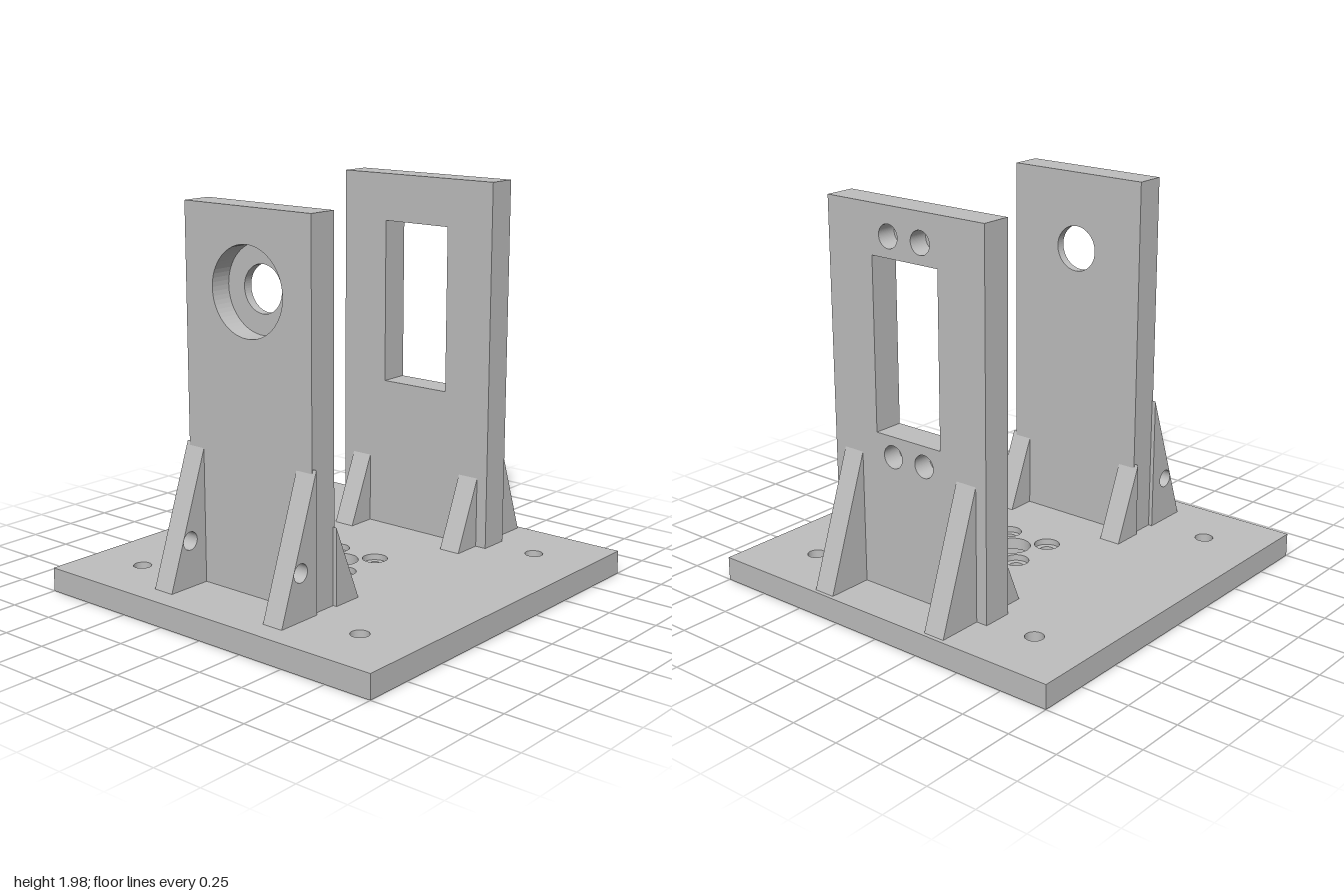
import * as THREE from 'three';

const grey = new THREE.MeshStandardMaterial({ color: 0xbfbfbf });
grey.name = 'machined grey';

// Rectangle outline, with the given hole paths cut out
function plate(x0, y0, x1, y1, holes) {
  const s = new THREE.Shape([[x0, y0], [x1, y0], [x1, y1], [x0, y1]].map(p => new THREE.Vector2(...p)));
  s.holes.push(...holes);
  return s;
}
const circle = (x, y, r) => new THREE.Path().absarc(x, y, r, 0, Math.PI * 2, true);
const corners = (d, r) => [[-d, -d], [d, -d], [d, d], [-d, d]].map(([x, y]) => circle(x, y, r));
const extrude = (shape, depth) =>
  new THREE.ExtrudeGeometry(shape, { depth, bevelEnabled: false, curveSegments: 32 });

export function createModel() {
  const model = new THREE.Group();
  model.name = 'bearingMount';
  const add = (name, geometry, parent) => {
    const mesh = new THREE.Mesh(geometry, grey);
    mesh.name = name;
    parent.add(mesh);
  };
  const group = name => {
    const g = new THREE.Group();
    g.name = name;
    model.add(g);
    return g;
  };

  // Base plate in layers: round recess below, bolt holes, counterbores above
  const base = group('basePlate');
  const baseLayers = [
    ['recessLayer', 0, 0.06, [circle(0, 0, 0.25)]],
    ['boltHoleLayer', 0.06, 0.09, [circle(0, 0, 0.09), ...corners(0.123, 0.035)]],
    ['counterboreLayer', 0.09, 0.12, [circle(0, 0, 0.09), ...corners(0.123, 0.063)]],
  ];
  for (const [name, y0, y1, holes] of baseLayers) {
    const shape = plate(-1, -1, 1, 1, [...corners(0.693, 0.045), ...holes]);
    add(name, extrude(shape, y1 - y0).rotateX(-Math.PI / 2).translate(0, y0, 0), base);
  }

  // Front upright: bearing seat open to the front, smaller bore behind it
  const front = group('frontUpright');
  for (const [name, z0, z1, r] of [['boreLayer', 0.5, 0.545, 0.115], ['bearingSeatLayer', 0.545, 0.653, 0.215]]) {
    const shape = plate(-0.383, 0.12, 0.383, 1.945, [circle(0, 1.56, r)]);
    add(name, extrude(shape, z1 - z0).translate(0, 0, z0), front);
  }

  // Rear upright: rectangular window, blind screw holes from the back
  const rear = group('rearUpright');
  const screws = [];
  for (const x of [-0.095, 0.095]) for (const y of [0.8, 1.84]) screws.push(circle(x, y, 0.056));
  for (const [name, z0, z1, holes] of [['screwHoleLayer', -0.75, -0.65, screws], ['windowLayer', -0.65, -0.597, []]]) {
    const opening = new THREE.Path([[-0.195, 0.9], [-0.195, 1.74], [0.195, 1.74], [0.195, 0.9]]
      .map(p => new THREE.Vector2(...p)));
    const shape = plate(-0.462, 0.12, 0.462, 1.98, [opening, ...holes]);
    add(name, extrude(shape, z1 - z0).translate(0, 0, z0), rear);
  }

  // Triangular gussets, a pair on each face of both uprights: wall z, foot z, top y
  const gussets = [
    ['frontOuterGusset', 0.646, 0.885, 0.803, [[0.755, 0.35, 0.045]]],
    ['frontInnerGusset', 0.508, 0.35, 0.5, []],
    ['rearInnerGusset', -0.597, -0.445, 0.48, []],
    ['rearOuterGusset', -0.75, -0.98, 0.78, []],
  ];
  for (const [name, wall, foot, top, holes] of gussets) {
    const shape = new THREE.Shape([[wall, 0.12], [foot, 0.12], [wall, top]].map(p => new THREE.Vector2(...p)));
    shape.holes.push(...holes.map(h => circle(...h)));
    for (const [side, x] of [['Left', 0.403], ['Right', -0.29]])
      add(name + side, extrude(shape, 0.113).rotateY(-Math.PI / 2).translate(x, 0, 0), model);
  }
  return model;
}
